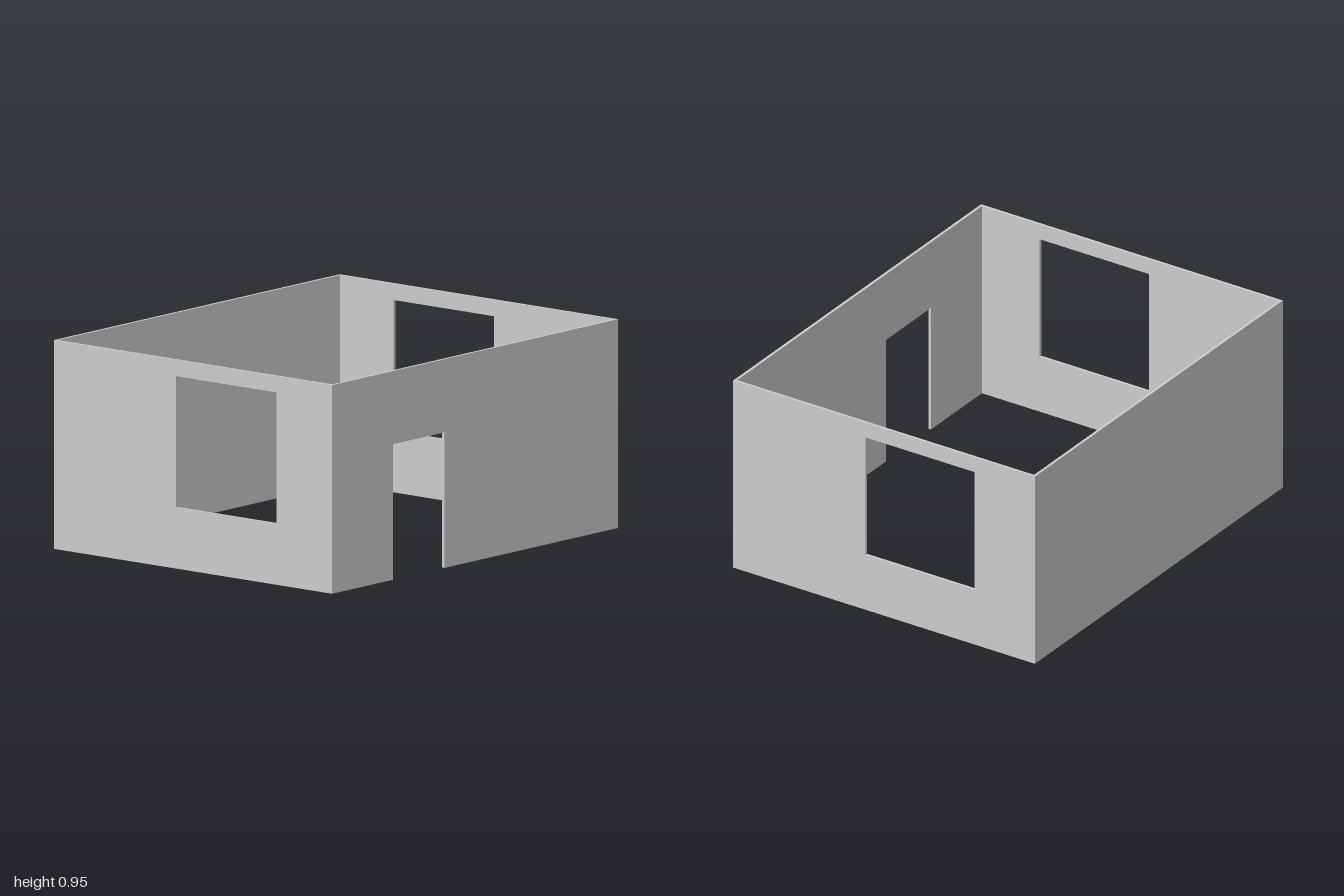
import * as THREE from 'three';

const W = 2, D = 1.63, H = 0.955, T = 0.013; // overall size and wall thickness

const material = new THREE.MeshStandardMaterial({ color: 0xcccccc, flatShading: true });

const polygon = (Type, points) => new Type(points.map(([x, y]) => new THREE.Vector2(x, y)));

// Upright wall of thickness T, centred on its own z = 0
function wall(name, shape) {
  const geometry = new THREE.ExtrudeGeometry(shape, { depth: T, bevelEnabled: false });
  geometry.translate(0, 0, -T / 2);
  const mesh = new THREE.Mesh(geometry, material);
  mesh.name = name;
  return mesh;
}

export function createModel() {
  const room = new THREE.Group();
  room.name = 'room';
  const hx = W / 2, hz = D / 2;

  // Front wall with a doorway open to the ground
  const doorL = -0.575, doorR = -0.215, doorH = 0.62;
  const front = wall('frontWall', polygon(THREE.Shape, [
    [-hx, 0], [doorL, 0], [doorL, doorH], [doorR, doorH], [doorR, 0], [hx, 0], [hx, H], [-hx, H],
  ]));
  front.position.z = hz - T / 2;
  room.add(front);

  // Plain back wall
  const back = wall('backWall', polygon(THREE.Shape, [[-hx, 0], [hx, 0], [hx, H], [-hx, H]]));
  back.position.z = -hz + T / 2;
  room.add(back);

  // Side walls, each with a window; the two are half-turn copies of each other
  const s = hz - T;
  for (const [name, side] of [['leftWall', 1], ['rightWall', -1]]) {
    const shape = polygon(THREE.Shape, [[-s, 0], [s, 0], [s, H], [-s, H]]);
    shape.holes.push(polygon(THREE.Path, [[-0.1, 0.28], [-0.1, 0.88], [0.49, 0.88], [0.49, 0.28]]));
    const mesh = wall(name, shape);
    mesh.rotation.y = side * Math.PI / 2;
    mesh.position.x = side * (hx - T / 2);
    room.add(mesh);
  }

  return room;
}
